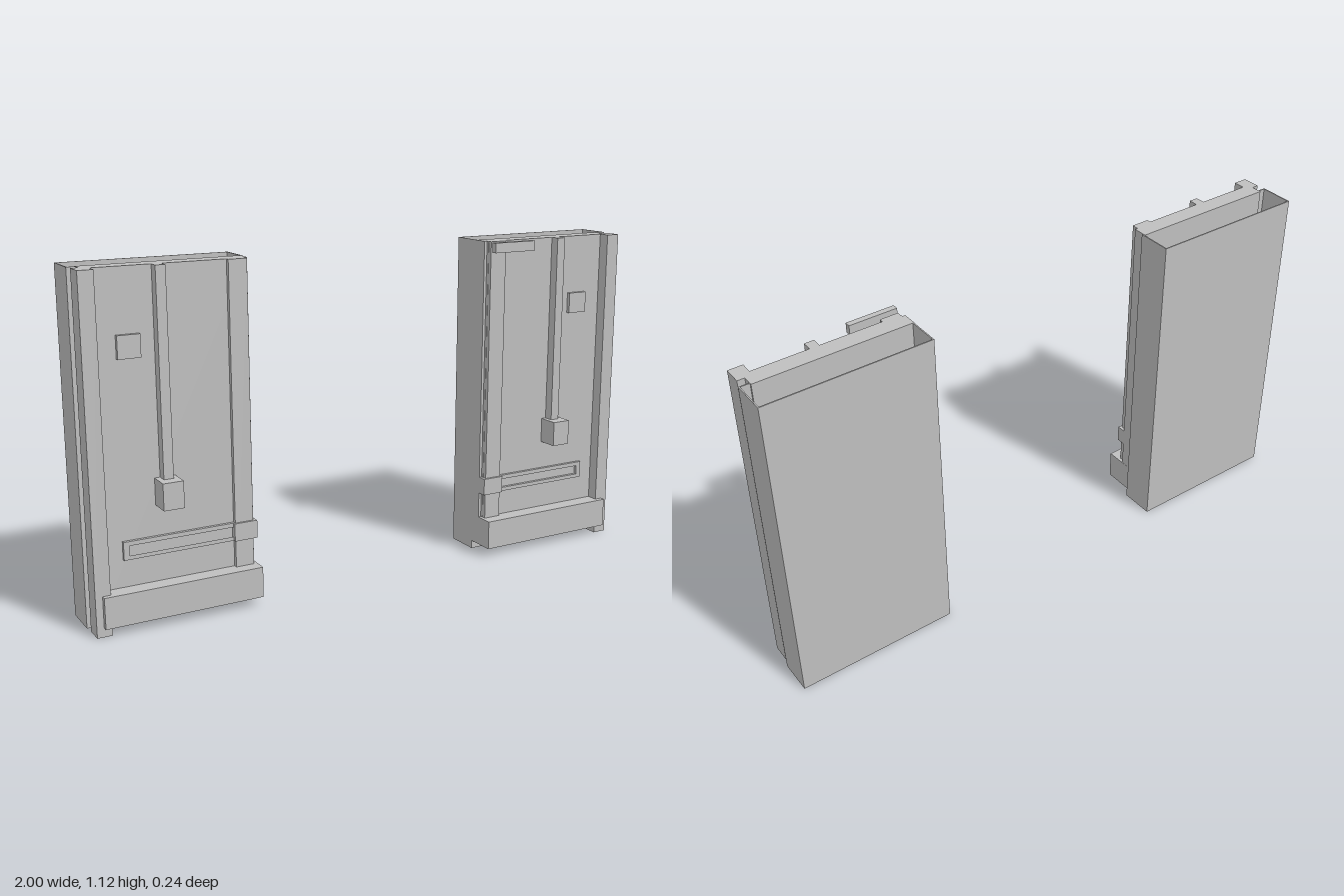
import * as THREE from 'three';

const grey = new THREE.MeshStandardMaterial({ color: 0xbfbfbf });
grey.name = 'plainGrey';

const H = 1.122; // door height
const T = 0.004; // sheet thickness of the hollow back

// One door leaf. side is -1 or 1; u is the distance from the middle of the model.
function makeDoor(side) {
  const door = new THREE.Group();
  door.name = side < 0 ? 'rightDoor' : 'leftDoor';
  const shift = side > 0 ? -0.006 : 0; // fittings sit slightly inward on one leaf

  function block(name, u0, u1, y0, y1, z0, z1, offset = shift) {
    const mesh = new THREE.Mesh(new THREE.BoxGeometry(u1 - u0, y1 - y0, z1 - z0), grey);
    mesh.position.set(side * ((u0 + u1) / 2 + offset), (y0 + y1) / 2, (z0 + z1) / 2);
    mesh.name = name;
    door.add(mesh);
  }

  // Hollow back casing, open at the top
  block('casingBack', 0.442, 1, 0, H, -0.12, -0.12 + T, 0);
  block('casingInnerSide', 0.442, 0.442 + T, 0, H, -0.12, 0, 0);
  block('casingOuterSide', 1 - T, 1, 0, H, -0.12, 0, 0);
  block('casingFloor', 0.442, 1, 0, T, -0.12, 0, 0);
  block('casingKickPlate', 0.442, 1, 0, 0.04, -T, 0, 0);
  block('casingFlange', 0.965, 1, 0, H, -T, 0, 0);

  // Front panel with a stepped inner edge
  block('panel', 0.457, 0.972, 0.033, H, -0.01, 0.05);
  block('panelInnerEdge', 0.447, 0.457, 0.033, H, -0.01, 0.04);

  // Upright stiles and bottom rail
  block('outerStile', 0.947, 0.996, 0, H, 0.028, 0.09);
  block('innerStile', 0.458, 0.52, 0.033, H, 0.04, 0.064);
  block('bottomRail', 0.446, 0.973, 0.03, 0.132, 0, 0.107);

  // Lock rod with its handle, and a small square plate
  block('lockRod', 0.728, 0.76, 0.46, H, 0.045, 0.083);
  block('handleBlock', 0.711, 0.778, 0.38, 0.467, 0.045, 0.122);
  block('squarePlate', 0.807, 0.88, 0.848, 0.92, 0.045, 0.063);

  // Slotted cross plate that wraps over the inner stile
  const rect = (Type, u0, u1, y0, y1) => {
    const [a, b] = [side * (u0 + shift), side * (u1 + shift)];
    return new Type([[a, y0], [b, y0], [b, y1], [a, y1]].map(p => new THREE.Vector2(...p)));
  };
  const plate = rect(THREE.Shape, 0.447, 0.89, 0.222, 0.281);
  plate.holes.push(rect(THREE.Path, 0.52, 0.872, 0.235, 0.267));
  const slotted = new THREE.Mesh(
    new THREE.ExtrudeGeometry(plate, { depth: 0.014, bevelEnabled: false }), grey);
  slotted.position.z = 0.047;
  slotted.name = 'slottedPlate';
  door.add(slotted);
  block('plateSaddle', 0.447, 0.525, 0.222, 0.281, 0.03, 0.072);

  // Overlapping stop bar, on one leaf only
  if (side > 0) block('stopBar', 0.44, 0.604, 1.088, H, 0.088, 0.108, 0);
  return door;
}

export function createModel() {
  const model = new THREE.Group();
  model.name = 'doubleDoors';
  for (const side of [-1, 1]) model.add(makeDoor(side));
  return model;
}
